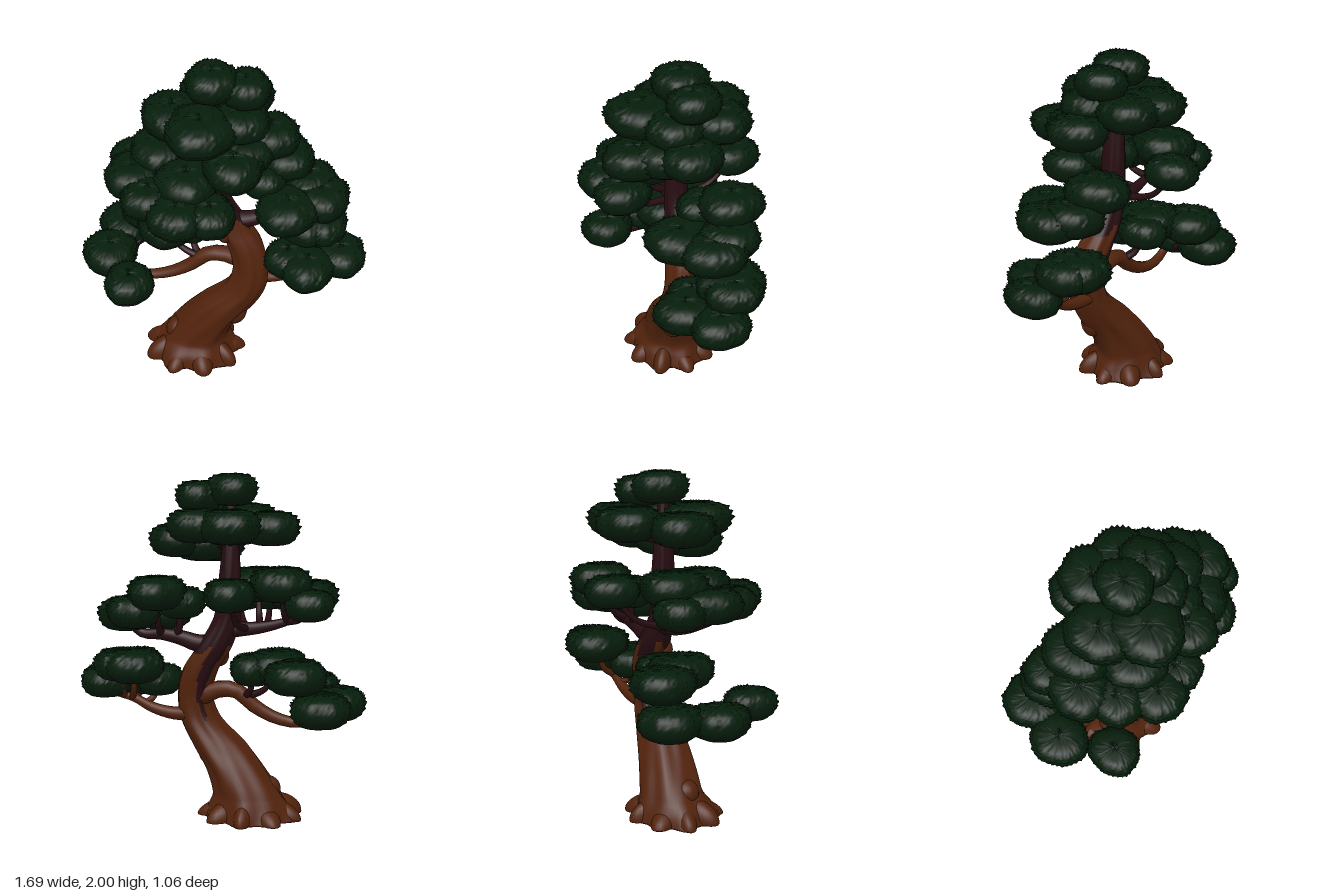
import * as THREE from 'three';

const V = (x, y, z) => new THREE.Vector3(x, y, z);
const bark = new THREE.MeshStandardMaterial({ color: 0x52230c });
bark.name = 'brown bark';
const darkBark = new THREE.MeshStandardMaterial({ color: 0x260c11 });
darkBark.name = 'dark bark';
const leaf = new THREE.MeshStandardMaterial({ color: 0x061d0b });
leaf.name = 'needle green';

// Small seeded random source
let seed = 7;
function rand() {
  seed = (seed * 16807) % 2147483647;
  return seed / 2147483647;
}

// Skin of closed rings; isDark(height, angle) picks the second material group
function loft(rows, cols, point, isDark = () => false) {
  const pos = [], light = [], dark = [];
  for (let i = 0; i <= rows; i++)
    for (let j = 0; j < cols; j++) pos.push(...point(i, (j / cols) * Math.PI * 2, j).toArray());
  for (let i = 0; i < rows; i++)
    for (let j = 0; j < cols; j++) {
      const a = i * cols + j, b = i * cols + ((j + 1) % cols), c = b + cols, d = a + cols;
      const list = isDark(pos[a * 3 + 1], (j / cols) * Math.PI * 2) ? dark : light;
      list.push(a, b, c, a, c, d);
    }
  const g = new THREE.BufferGeometry();
  g.setAttribute('position', new THREE.Float32BufferAttribute(pos, 3));
  g.setIndex(light.concat(dark));
  g.addGroup(0, light.length, 0);
  g.addGroup(light.length, dark.length, 1);
  g.computeVertexNormals();
  return g;
}

function add(parent, name, geometry, material) {
  const m = new THREE.Mesh(geometry, material);
  m.name = name;
  parent.add(m);
  return m;
}

// Tapered limb along a smooth path, closed at both ends
function limb(points, r0, r1) {
  const n = 14, curve = new THREE.CatmullRomCurve3(points), f = curve.computeFrenetFrames(n);
  return loft(n + 2, 10, (i, a) => {
    const k = Math.min(Math.max(i - 1, 0), n), t = k / n;
    const r = i === 0 || i === n + 2 ? 0 : r0 + (r1 - r0) * t;
    return curve.getPointAt(t)
      .addScaledVector(f.normals[k], Math.cos(a) * r)
      .addScaledVector(f.binormals[k], Math.sin(a) * r);
  });
}

// Flattened needle cushion: stacked layers, every other ring a ragged upturned lip
function needlePad(rx, h, rz) {
  const rows = 18, phase = rand() * 6;
  return loft(rows, 72, (i, a, j) => {
    const phi = (i / rows - 0.5) * Math.PI, pole = i === 0 || i === rows;
    const lip = i % 2 === 1, top = i > 5;
    const wave = 1 + 0.035 * Math.sin(3 * a + phase) + 0.02 * Math.sin(7 * a + phase * 2);
    const full = pole ? 0 : Math.pow(Math.cos(phi), 0.55);
    const spike = lip && top && j % 2 ? full * rand() * 0.08 : 0;
    const r = full * (lip ? 1 : 0.955) * wave + spike;
    const y = Math.sin(phi) * h * (phi < 0 ? 1.1 : 1) + spike * 0.16;
    return V(Math.cos(a) * r * rx, y, -Math.sin(a) * r * rz);
  });
}

// Trunk stations: y, centre x, centre z, radius x, radius z
const stations = [
  [0, -0.17, 0, 0.27, 0.24], [0.07, -0.17, 0, 0.235, 0.215], [0.14, -0.155, -0.01, 0.195, 0.18],
  [0.28, -0.08, 0.01, 0.17, 0.158], [0.42, 0.025, 0.035, 0.16, 0.135], [0.58, 0.145, 0.05, 0.115, 0.11],
  [0.72, 0.17, 0.04, 0.1, 0.1], [0.86, 0.135, 0.02, 0.104, 0.098], [1.0, 0.05, 0, 0.1, 0.088],
  [1.18, -0.03, 0, 0.075, 0.07], [1.4, -0.045, 0, 0.063, 0.066], [1.65, -0.05, 0, 0.045, 0.05],
  [1.88, -0.05, 0, 0.025, 0.025],
];
function trunk() {
  const n = 80;
  const centre = new THREE.CatmullRomCurve3(stations.map(s => V(s[1], s[0], s[2])));
  const radii = new THREE.CatmullRomCurve3(stations.map(s => V(s[3], 0, s[4])));
  return loft(n + 2, 48, (i, a) => {
    const t = Math.min(Math.max(i - 1, 0), n) / n;
    const c = centre.getPoint(t), r = radii.getPoint(t);
    const flare = Math.exp(-c.y / 0.08);
    const k = i === 0 || i === n + 2 ? 0
      : 1 + 0.04 * Math.sin(5 * a + c.y * 5) + 0.025 * Math.sin(9 * a - c.y * 6) + 0.07 * flare * Math.cos(9 * a);
    return V(c.x + Math.cos(a) * r.x * k, Math.max(c.y, 0), c.z - Math.sin(a) * r.z * k);
  }, (y, a) => {
    // dark upper trunk, running down in a streak at the back
    const streak = Math.max(0, 1 - Math.abs(a - 2) / 0.6);
    return y > 0.99 + 0.04 * Math.sin(2 * a + 4) + 0.02 * Math.sin(5 * a) - 0.5 * streak;
  });
}

// One bough: a branch through [x, y] points, and needle pads [x, y, z, radius] each on a twig
function bough(name, branchMat, twigMat, r0, r1, points, pads) {
  const group = new THREE.Group();
  group.name = name;
  const path = points.map(([x, y]) => V(x, y, 0));
  add(group, 'branch', limb(path, r0, r1), branchMat);
  const samples = new THREE.CatmullRomCurve3(path).getPoints(20).slice(7, 20);
  for (const [x, y, z, r] of pads) {
    // Twig from the nearest part of the branch up into the pad
    const h = 0.057 + r * 0.19;
    const end = V(x, y - h * 0.3, z);
    const from = samples.reduce((s, p) => (p.distanceTo(end) < s.distanceTo(end) ? p : s));
    const mid = from.clone().lerp(end, 0.6);
    mid.y = from.y + (end.y - from.y) * 0.3;
    add(group, 'twig', limb([from, mid, end], r1 * 1.1, 0.012), twigMat);
    add(group, 'needlePad', needlePad(r * 0.98, h, r * 1.08), leaf).position.set(x, y, z);
  }
  return group;
}

export function createModel() {
  const tree = new THREE.Group();
  tree.name = 'bonsaiTree';
  add(tree, 'trunk', trunk(), [bark, darkBark]);

  // Spreading roots, flat on the ground
  const roots = new THREE.Group();
  roots.name = 'roots';
  tree.add(roots);
  for (let i = 0; i < 9; i++) {
    const a = (i / 9) * Math.PI * 2 + 0.1;
    const g = new THREE.SphereGeometry(1, 20, 14);
    g.scale(0.14, 0.065 + 0.015 * (i % 3), 0.06 + 0.012 * (i % 2));
    g.rotateZ(-0.3);
    g.rotateY(a);
    g.translate(-0.17 + Math.cos(a) * 0.18, 0.03, -Math.sin(a) * 0.15);
    const p = g.attributes.position;
    for (let k = 0; k < p.count; k++) p.setY(k, Math.max(0, p.getY(k)));
    g.computeVertexNormals();
    add(roots, 'root', g, bark);
  }

  // Bark knots: x, y, z, radius, height stretch
  for (const [x, y, z, r, s] of [[-0.27, 0.16, 0.02, 0.075, 1.05], [0.08, 0.38, 0.06, 0.075, 1.4], [0.02, 0.95, 0.045, 0.053, 1.3]]) {
    const g = new THREE.SphereGeometry(r, 18, 12);
    g.scale(1, s, 1);
    add(tree, 'knot', g, bark).position.set(x, y, z);
  }

  // Boughs from the lowest to the crown
  tree.add(bough('lowerRightwardBough', bark, bark, 0.045, 0.02,
    [[0.16, 0.6], [0.3, 0.6], [0.42, 0.63], [0.52, 0.68], [0.6, 0.7]],
    [[0.49, 0.91, -0.14, 0.18], [0.58, 0.91, -0.12, 0.15], [0.69, 0.785, 0, 0.155],
      [0.5, 0.785, 0.14, 0.16], [0.39, 0.79, 0.06, 0.14]]));
  tree.add(bough('lowerLeftwardBough', bark, darkBark, 0.055, 0.022,
    [[0.13, 0.7], [0.03, 0.75], [-0.08, 0.75], [-0.19, 0.66], [-0.3, 0.6], [-0.44, 0.57], [-0.55, 0.6], [-0.62, 0.66]],
    [[-0.33, 0.915, -0.06, 0.18], [-0.2, 0.9, -0.1, 0.14], [-0.46, 0.895, -0.25, 0.175],
      [-0.67, 0.705, -0.02, 0.165], [-0.6, 0.72, -0.29, 0.17], [-0.52, 0.725, 0.28, 0.145]]));
  tree.add(bough('middleRightwardBough', darkBark, darkBark, 0.06, 0.022,
    [[0.02, 1.02], [0.14, 1.02], [0.24, 1.05], [0.36, 1.07], [0.47, 1.07], [0.54, 1.12]],
    [[0.35, 1.34, -0.18, 0.17], [0.23, 1.27, -0.06, 0.14], [0.56, 1.19, -0.01, 0.17],
      [0.37, 1.185, 0.12, 0.18], [0.49, 1.22, -0.12, 0.16]]));
  tree.add(bough('middleLeftwardBough', darkBark, darkBark, 0.05, 0.022,
    [[-0.01, 1.1], [-0.1, 1.11], [-0.2, 1.12], [-0.3, 1.14], [-0.4, 1.17]],
    [[-0.5, 1.31, 0.02, 0.17], [-0.36, 1.395, -0.12, 0.18], [-0.52, 1.29, -0.18, 0.14], [-0.23, 1.28, 0.35, 0.16],
      [-0.05, 1.27, 0.32, 0.15], [-0.4, 1.29, 0.2, 0.155], [-0.1, 1.36, -0.36, 0.145], [-0.19, 1.36, 0.14, 0.18]]));
  tree.add(bough('upperBough', darkBark, darkBark, 0.045, 0.025,
    [[-0.045, 1.42], [-0.05, 1.5], [-0.05, 1.56], [-0.048, 1.62]],
    [[-0.28, 1.7, -0.02, 0.175], [-0.11, 1.725, 0.17, 0.195], [-0.08, 1.725, -0.24, 0.175], [0.11, 1.725, -0.2, 0.165],
      [0.1, 1.72, 0.05, 0.165], [0.27, 1.62, 0.02, 0.16], [0.08, 1.57, 0.28, 0.165], [0.14, 1.59, 0.12, 0.17]]));
  tree.add(bough('crown', darkBark, darkBark, 0.03, 0.015,
    [[-0.045, 1.72], [-0.048, 1.77], [-0.05, 1.82], [-0.05, 1.86]],
    [[-0.06, 1.915, -0.03, 0.15], [0.125, 1.875, -0.04, 0.14]]));
  return tree;
}
